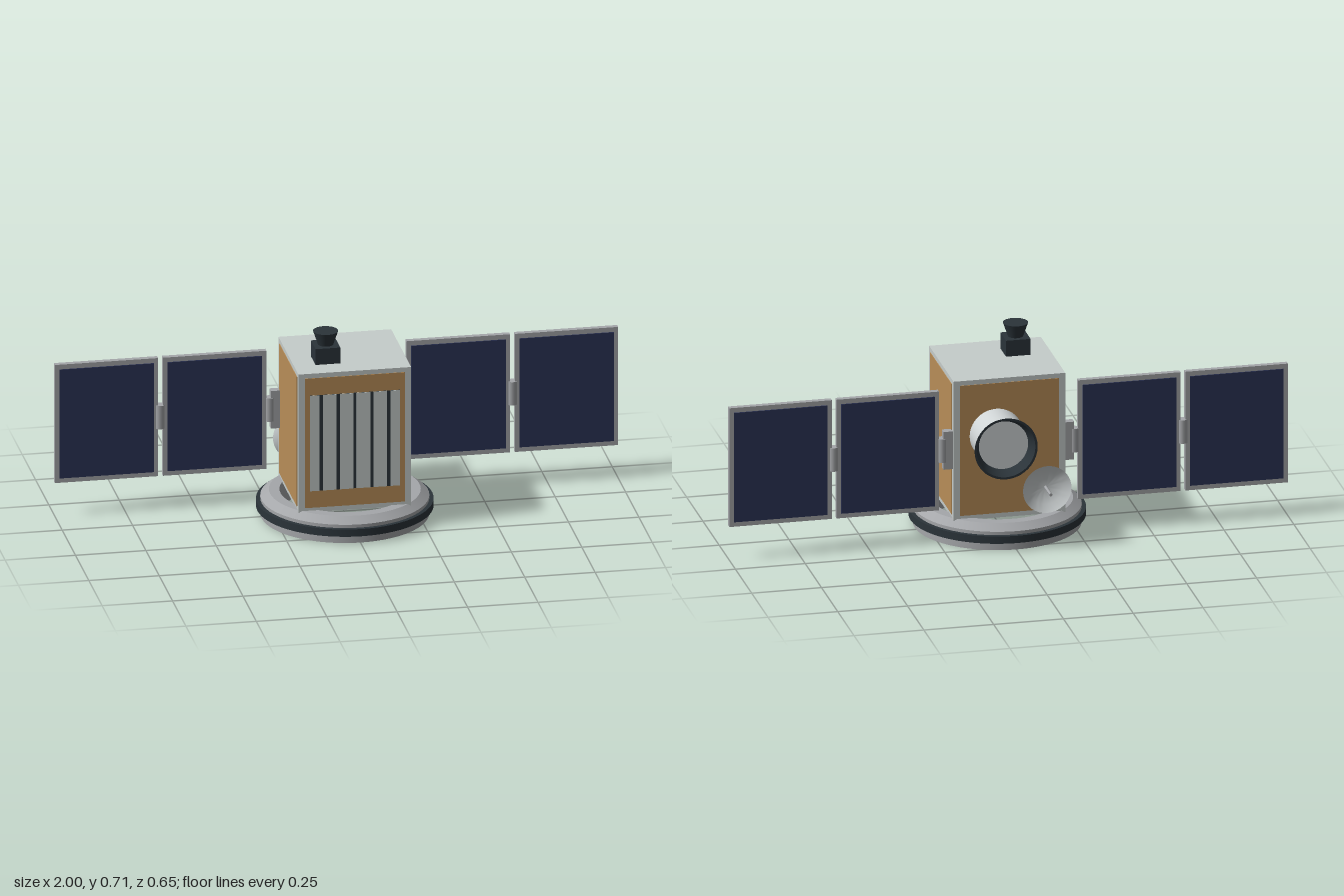
import * as THREE from 'three';
import { toCreasedNormals } from 'three/addons/utils/BufferGeometryUtils.js';

const mat = (name, color) => {
  const m = new THREE.MeshStandardMaterial({ color });
  m.name = name;
  return m;
};

export function createModel() {
  const root = new THREE.Group();
  root.name = 'satellite';
  const shell = mat('pale shell', 0xc6cdcb);
  const gold = mat('gold foil', 0xb98e58);
  const metal = mat('grey metal', 0xa5a7aa);
  const dark = mat('dark trim', 0x2b343a);
  const navy = mat('solar cells', 0x2b3356);
  const white = mat('white barrel', 0xd0d5d6);

  const add = (name, geo, material, x, y, z, parent = root) => {
    const m = new THREE.Mesh(geo, material);
    m.name = name;
    m.position.set(x, y, z);
    parent.add(m);
    return m;
  };
  const box = (name, w, h, d, material, x, y, z, parent) =>
    add(name, new THREE.BoxGeometry(w, h, d), material, x, y, z, parent);
  const lathe = (pts, seg = 48) => toCreasedNormals(
    new THREE.LatheGeometry(pts.map(p => new THREE.Vector2(...p)), seg), 0.45);
  // Turned parts whose axis points backwards
  const back = geo => geo.rotateX(-Math.PI / 2);

  const cz = 0.0175; // body centre in depth

  // Docking ring and its dark band
  add('baseRing', lathe([[0.228, 0], [0.295, 0], [0.295, 0.068], [0.265, 0.09],
    [0.228, 0.09], [0.228, 0]], 64), metal, 0, 0, cz);
  add('ringBand', lathe([[0.29, 0.029], [0.31, 0.029], [0.31, 0.056],
    [0.29, 0.056], [0.29, 0.029]], 64), dark, 0, 0, cz);

  // Body with foil panels on four sides
  box('body', 0.4, 0.517, 0.375, shell, 0, 0.3425, cz);
  for (const s of [-1, 1]) {
    box('foilEnd', 0.355, 0.483, 0.004, gold, 0, 0.3425, cz + s * 0.1875);
    box('foilSide', 0.004, 0.483, 0.33, gold, s * 0.2, 0.3425, cz);
  }

  // Front radiator: pale slats over a dark backing
  box('radiatorBacking', 0.32, 0.356, 0.004, dark, 0, 0.342, 0.2068);
  for (let i = 0; i < 6; i++) {
    const a = i === 0 ? -0.16 : -0.18 + i * 0.06 + 0.006;
    const b = i === 5 ? 0.16 : -0.12 + i * 0.06 - 0.006;
    box('radiatorSlat', b - a, 0.356, 0.002, shell, (a + b) / 2, 0.342, 0.2092);
  }

  // Thruster on the roof
  box('thrusterBlock', 0.088, 0.06, 0.088, dark, -0.08, 0.63, 0.08);
  add('thrusterNozzle', new THREE.CylinderGeometry(0.044, 0.027, 0.05, 32), dark, -0.08, 0.685, 0.08);

  // Telescope with open flared hood
  add('telescopeBarrel', back(new THREE.CylinderGeometry(0.095, 0.095, 0.116, 40)),
    white, 0.048, 0.394, -0.227);
  add('telescopeHood', back(lathe([[0.09, 0], [0.095, 0], [0.113, 0.043],
    [0.105, 0.043], [0.088, 0.002], [0.09, 0]], 40)), dark, 0.048, 0.394, -0.282);

  // Dish antenna
  add('dishMount', back(new THREE.CylinderGeometry(0.015, 0.015, 0.04, 20)), metal, -0.12, 0.198, -0.19);
  add('dish', back(lathe([[0, 0], [0.03, 0.002], [0.062, 0.01], [0.087, 0.03],
    [0.06, 0.013], [0.03, 0.005], [0, 0.003]], 36)), white, -0.12, 0.198, -0.207);
  add('dishFeed', back(new THREE.CylinderGeometry(0.0055, 0.0055, 0.085, 12)), metal, -0.12, 0.198, -0.2505);

  // Solar wings, mirrored
  for (const s of [-1, 1]) {
    const wing = new THREE.Group();
    wing.name = s > 0 ? 'leftWing' : 'rightWing';
    wing.position.set(0, 0.344, -0.148);
    root.add(wing);
    box('wingBracket', 0.034, 0.14, 0.028, metal, s * 0.217, 0, 0, wing);
    add('rootHinge', new THREE.CylinderGeometry(0.018, 0.018, 0.087, 16), metal, s * 0.236, 0, 0, wing);
    add('middleHinge', new THREE.CylinderGeometry(0.018, 0.018, 0.087, 16), metal, s * 0.6255, 0, 0, wing);
    for (const x of [0.4325, 0.8165]) {
      box('panelFrame', 0.367, 0.441, 0.02, metal, s * x, 0, 0, wing);
      for (const f of [-1, 1])
        box('solarCells', 0.335, 0.406, 0.004, navy, s * x, 0, f * 0.012, wing);
    }
  }
  return root;
}
